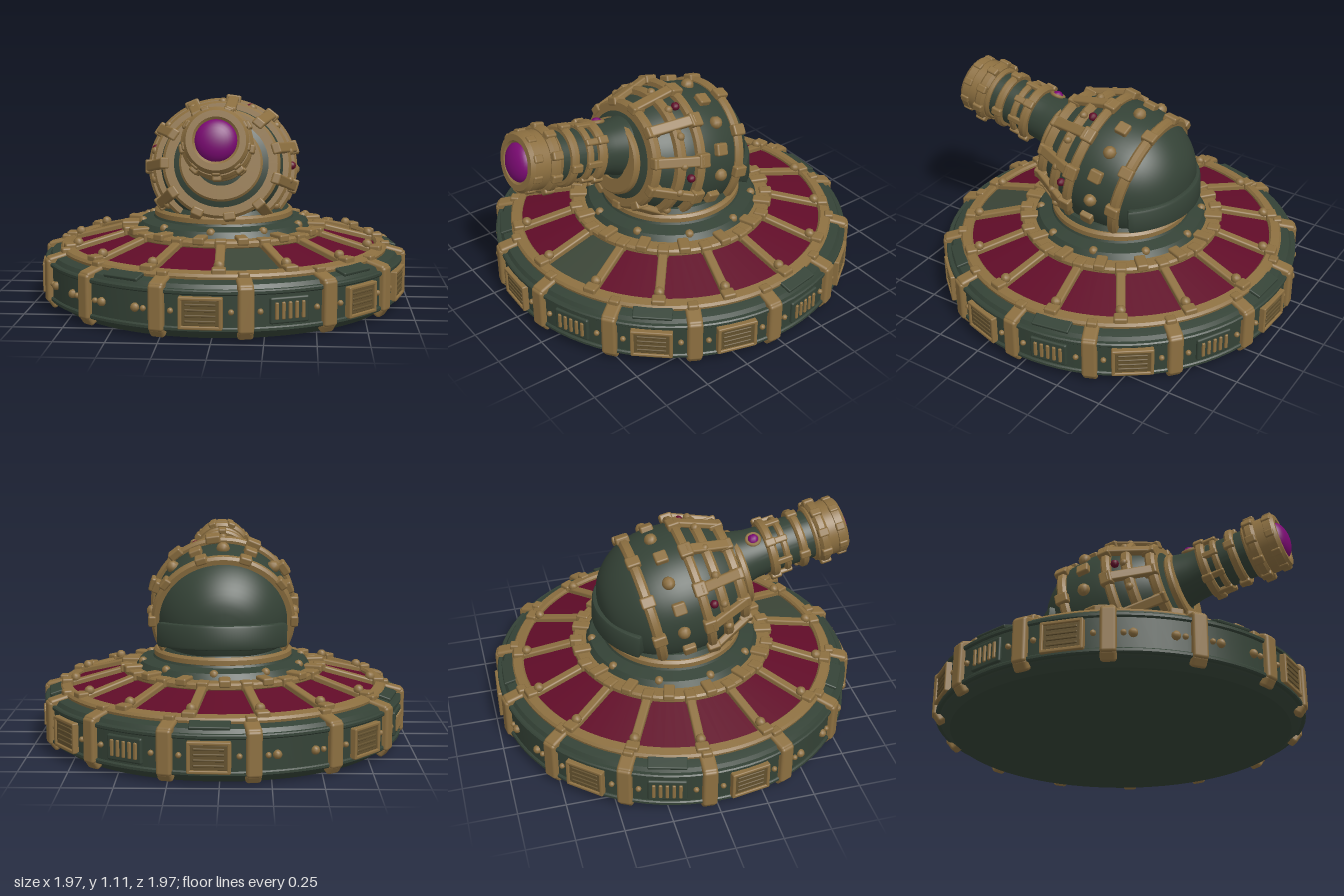
import * as THREE from 'three';
import { toCreasedNormals } from 'three/addons/utils/BufferGeometryUtils.js';
import { RoundedBoxGeometry } from 'three/addons/geometries/RoundedBoxGeometry.js';

const flat = (name, color) => {
  const m = new THREE.MeshStandardMaterial({ color });
  m.name = name;
  return m;
};
const bronze = flat('bronze', 0x8c6f40);
const agedBronze = flat('aged bronze', 0x64522f);
const green = flat('dark green', 0x344236);
const bare = flat('bare panel', 0x3b4537);
const red = flat('crimson', 0x600c28);
const purple = flat('purple glass', 0x7a0a72);

const rad = THREE.MathUtils.degToRad;

function add(parent, name, geometry, material, x = 0, y = 0, z = 0) {
  const m = new THREE.Mesh(geometry, material);
  m.name = name;
  m.position.set(x, y, z);
  parent.add(m);
  return m;
}

function group(parent, name) {
  const g = new THREE.Group();
  g.name = name;
  parent.add(g);
  return g;
}

// Turned part; profile runs bottom, outside, top
function turned(parent, name, points, material, start = 0, length = 360) {
  const g = new THREE.LatheGeometry(points.map(p => new THREE.Vector2(...p)), 80, rad(start), rad(length));
  return add(parent, name, toCreasedNormals(g, 0.55), material);
}

// Chamfered hoop between two radii and two heights
function hoop(parent, name, r0, r1, y0, y1, material = bronze) {
  const c = Math.min(r1 - r0, y1 - y0) * 0.25;
  return turned(parent, name, [[r0, y0], [r1 - c, y0], [r1, y0 + c], [r1, y1 - c], [r1 - c, y1], [r0, y1], [r0, y0]], material);
}

const box = (w, h, d, r = 0.01) => new RoundedBoxGeometry(w, h, d, 2, Math.min(r, w / 3, h / 3, d / 3));
const stud = r => new THREE.SphereGeometry(r, 10, 7);

// Sub-group whose +z points outwards at an angle (0 = rear or top, clockwise)
function spoke(parent, name, degrees) {
  const g = group(parent, name);
  g.rotation.y = Math.PI - rad(degrees);
  return g;
}

// Row of identical parts around an axis
function ringOf(parent, name, count, offset, build) {
  const g = group(parent, name);
  for (let i = 0; i < count; i++) build(spoke(g, name + 'Item', offset + i * 360 / count), i);
}

function buildBase(root) {
  const base = group(root, 'base');
  turned(base, 'drum', [[0, 0], [0.89, 0], [0.94, 0.04], [0.955, 0.06], [0.955, 0.23], [0.93, 0.27], [0.85, 0.29], [0, 0.29]], green);
  hoop(base, 'lowerRidge', 0.92, 0.967, 0.045, 0.07, green);
  hoop(base, 'upperRidge', 0.92, 0.967, 0.225, 0.25, green);
  const cone = [[0.85, 0.285], [0.5, 0.375]];
  turned(base, 'redPanels', cone, red, 26, 336);
  turned(base, 'barePanel', cone, bare, 2, 24);
  turned(base, 'panelRim', [[0.88, 0.27], [0.885, 0.295], [0.875, 0.308], [0.83, 0.317], [0.82, 0.305], [0.82, 0.28]], bronze);

  // Sloping ribs between the panels
  ringOf(base, 'rib', 15, 10, g => {
    add(g, 'ribBar', box(0.048, 0.04, 0.38), bronze, 0, 0.337, 0.68).rotation.x = 0.255;
    add(g, 'ribFoot', box(0.07, 0.05, 0.06), bronze, 0, 0.31, 0.845);
    add(g, 'ribStud', stud(0.027), bronze, 0, 0.335, 0.8);
    add(g, 'ribHead', box(0.06, 0.05, 0.07), bronze, 0, 0.385, 0.525);
  });

  // Clamps on the rim, each followed by a plate, vents or bolts
  const bays = 'PPSPBBPSPBPSPS';
  ringOf(base, 'clamp', 14, 93, g => {
    add(g, 'clampFace', box(0.078, 0.23, 0.06, 0.016), bronze, 0, 0.155, 0.955);
    add(g, 'clampTop', box(0.078, 0.045, 0.12, 0.016), bronze, 0, 0.268, 0.915).rotation.x = 0.25;
    add(g, 'clampFoot', box(0.078, 0.06, 0.07, 0.016), bronze, 0, 0.045, 0.935).rotation.x = 0.6;
    add(g, 'clampBolt', box(0.055, 0.05, 0.05), bronze, 0, 0.295, 0.875);
  });
  ringOf(base, 'bay', 14, 93 + 180 / 14, (g, i) => {
    if (bays[i] === 'P') {
      for (const s of [-1, 1]) {
        add(g, 'plateRail', box(0.21, 0.018, 0.045), bronze, 0, 0.14 + s * 0.07, 0.958);
        add(g, 'plateSide', box(0.018, 0.155, 0.045), bronze, s * 0.097, 0.14, 0.958);
      }
      add(g, 'plateInset', box(0.19, 0.135, 0.03), agedBronze, 0, 0.14, 0.956);
      for (let k = 0; k < 4; k++) add(g, 'plateRidge', box(0.15, 0.012, 0.012), agedBronze, 0, 0.1 + k * 0.027, 0.97);
    } else if (bays[i] === 'S') {
      add(g, 'ventBack', box(0.2, 0.13, 0.03), green, 0, 0.145, 0.95);
      for (let k = -2; k <= 2; k++) add(g, 'ventBar', box(0.018, 0.085, 0.025), bronze, k * 0.034, 0.145, 0.962);
    } else {
      for (const s of [-1, 1]) add(g, 'rimBolt', stud(0.023), bronze, s * 0.1, 0.145, 0.953);
    }
    if (i % 3 === 1) add(g, 'bevelPlate', box(0.2, 0.018, 0.07), green, 0, 0.282, 0.905).rotation.x = 0.3;
    for (const s of [-1, 1]) add(g, 'sideBolt', stud(0.015), bronze, s * 0.145, 0.145, 0.95);
  });
}

function buildCollar(root) {
  const collar = group(root, 'collar');
  turned(collar, 'step', [[0.52, 0.34], [0.52, 0.38], [0.47, 0.4], [0.45, 0.43], [0.38, 0.445], [0.34, 0.52], [0, 0.52]], green);
  hoop(collar, 'outerRing', 0.46, 0.545, 0.36, 0.4);
  hoop(collar, 'turntableRing', 0.31, 0.375, 0.445, 0.495);
  ringOf(collar, 'ringLug', 15, 22, g => add(g, 'lug', box(0.06, 0.04, 0.1), bronze, 0, 0.4, 0.505));
  ringOf(collar, 'ringStud', 10, 5, g => add(g, 'studHead', stud(0.024), bronze, 0, 0.425, 0.44));

  // Curved lip around the rear of the dome
  const s = new THREE.Shape();
  s.absarc(0, 0, 0.405, rad(38), rad(142), false);
  s.absarc(0, 0, 0.28, rad(142), rad(38), true);
  const lip = new THREE.ExtrudeGeometry(s, { depth: 0.1, bevelSize: 0.015, bevelThickness: 0.015, bevelSegments: 2, curveSegments: 24 });
  lip.rotateX(-Math.PI / 2);
  add(collar, 'rearLip', toCreasedNormals(lip, 0.6), green, 0, 0.535, -0.015).rotation.x = 0.06;
}

// Group whose y axis points forward and slightly up
function tilted(parent, name, height) {
  const g = group(parent, name);
  g.position.y = height;
  g.rotation.x = Math.PI / 2 - 0.21;
  return g;
}

function buildDome(turret) {
  const dome = tilted(turret, 'dome', 0.7);
  dome.scale.x = 1.07;
  const curve = new THREE.SplineCurve([[0, -0.41], [0.15, -0.375], [0.25, -0.3], [0.32, -0.19], [0.345, -0.07], [0.345, 0.05], [0.325, 0.16], [0.285, 0.26], [0.24, 0.34]].map(p => new THREE.Vector2(...p)));
  const profile = curve.getPoints(32).map(p => [Math.max(0, p.x), p.y]);
  turned(dome, 'shell', [...profile, [0.13, 0.385], [0, 0.385]], green);

  // Hoops around the shell
  hoop(dome, 'rearBand', 0.28, 0.355, -0.2, -0.145);
  hoop(dome, 'middleBand', 0.3, 0.37, 0.075, 0.125);
  hoop(dome, 'frontBand', 0.27, 0.34, 0.175, 0.23);
  hoop(dome, 'noseBand', 0.2, 0.285, 0.29, 0.345);
  hoop(dome, 'neckBand', 0.12, 0.2, 0.36, 0.4);
  ringOf(dome, 'rearBlock', 10, 18, g => add(g, 'block', box(0.06, 0.075, 0.04), bronze, 0, -0.172, 0.35));
  ringOf(dome, 'shellStud', 16, 0, (g, i) => {
    if (i % 2) add(g, 'squareBoss', box(0.065, 0.07, 0.05), bronze, 0, -0.03, 0.35);
    else add(g, 'roundBoss', stud(0.034), bronze, 0, -0.04, 0.352);
  });
  ringOf(dome, 'bridge', 11, 8, (g, i) => {
    add(g, 'bridgeBar', box(0.055, 0.25, 0.035), bronze, 0, 0.215, 0.327).rotation.x = -0.4;
    add(g, 'bridgeBlock', box(0.075, 0.07, 0.045), bronze, 0, 0.1, 0.365);
    add(g, 'noseBlock', box(0.06, 0.075, 0.045), bronze, 0, 0.315, 0.275);
    if (i % 2) add(g, 'redLamp', stud(0.022), red, 0.1, 0.15, 0.327);
  });
  ringOf(dome, 'frontStud', 14, 0, g => add(g, 'frontStudHead', stud(0.022), bronze, 0, 0.2, 0.337));
}

function buildBarrel(turret) {
  const barrel = tilted(turret, 'barrel', 0.755);
  turned(barrel, 'tube', [[0.165, 0.28], [0.15, 0.38], [0.135, 0.45], [0.13, 0.52], [0.13, 0.92], [0, 0.92]], green);
  hoop(barrel, 'rearHoop', 0.11, 0.162, 0.52, 0.57);
  hoop(barrel, 'thinHoop', 0.11, 0.152, 0.6, 0.635);
  hoop(barrel, 'middleHoop', 0.11, 0.16, 0.69, 0.735);
  hoop(barrel, 'muzzleSleeve', 0.11, 0.15, 0.78, 0.94);
  hoop(barrel, 'muzzleHoop', 0.11, 0.172, 0.8, 0.86);
  turned(barrel, 'muzzleLip', [[0.13, 0.9], [0.155, 0.91], [0.155, 0.95], [0.14, 0.968], [0.11, 0.968], [0.095, 0.955], [0.095, 0.9]], bronze);
  ringOf(barrel, 'muzzleBlock', 9, 20, g => {
    add(g, 'muzzleLug', box(0.045, 0.06, 0.035), bronze, 0, 0.83, 0.165);
    add(g, 'lipLug', box(0.04, 0.05, 0.025), bronze, 0, 0.93, 0.15);
  });
  ringOf(barrel, 'sleeveLink', 8, 0, (g, i) => {
    add(g, 'linkBar', box(0.035, 0.11, 0.025), bronze, 0, 0.585, 0.148);
    add(g, 'hoopLug', box(0.045, 0.06, 0.03), bronze, 0, i % 2 ? 0.545 : 0.71, 0.158);
  });

  // Glass lens in the muzzle and a small gem on the tube
  const lens = add(barrel, 'lens', new THREE.SphereGeometry(0.102, 32, 16), purple, 0, 0.945, 0);
  lens.scale.y = 0.55;
  const gem = spoke(barrel, 'gem', -24);
  add(gem, 'gemRim', new THREE.TorusGeometry(0.034, 0.01, 8, 20), bronze, 0, 0.47, 0.138);
  add(gem, 'gemStone', stud(0.032), purple, 0, 0.47, 0.13);
}

export function createModel() {
  const model = group(new THREE.Group(), 'turretModel');
  model.removeFromParent();
  buildBase(model);
  buildCollar(model);
  const turret = group(model, 'turret');
  turret.rotation.y = 0.025;
  buildDome(turret);
  buildBarrel(turret);
  return model;
}
